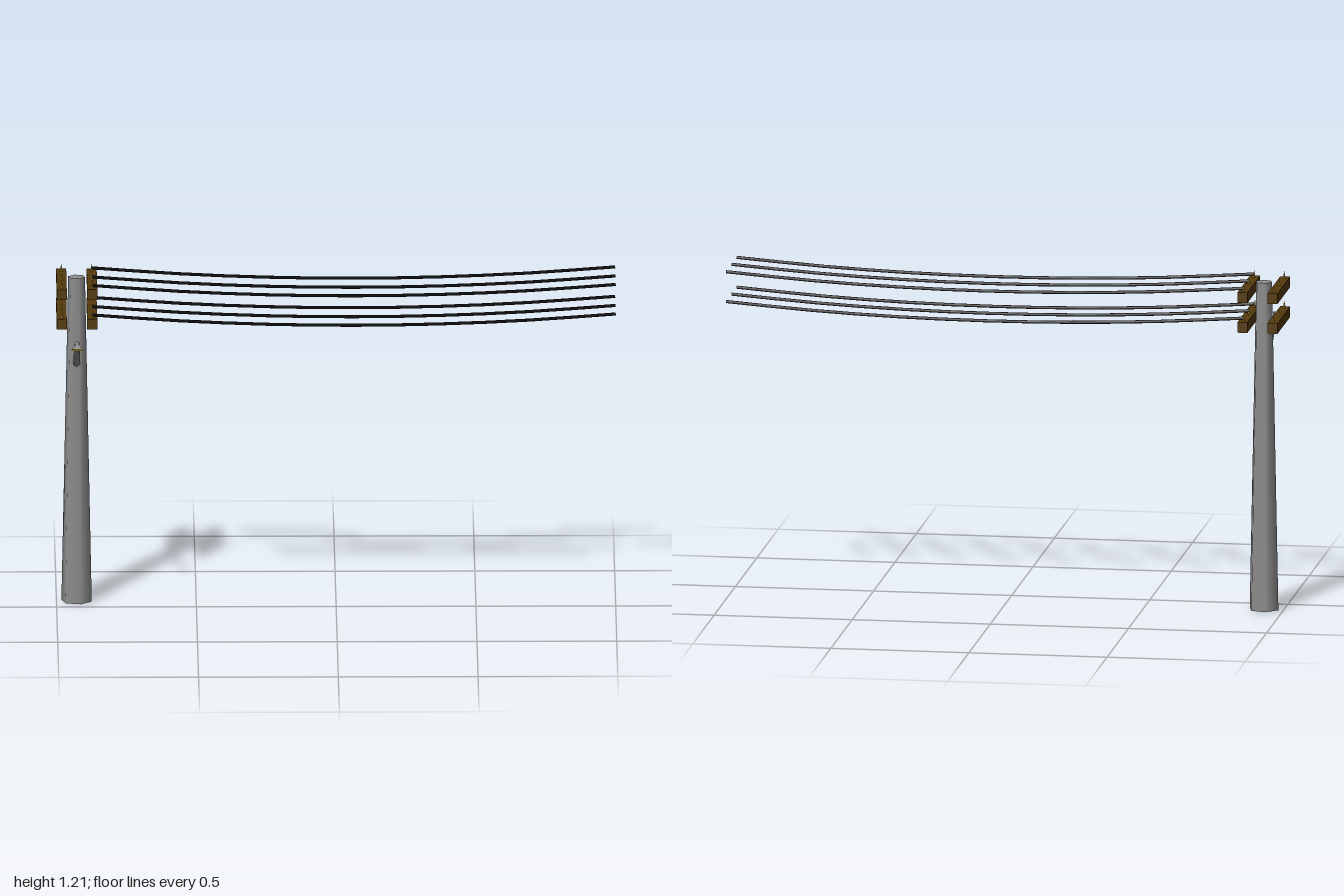
import * as THREE from 'three';

const POLE_X = -0.928, POLE_Z = -0.092;

function material(name, color) {
  const m = new THREE.MeshStandardMaterial({ color });
  m.name = name;
  return m;
}

export function createModel() {
  const concrete = material('concrete grey', 0x8f8f8f);
  const wood = material('dark wood', 0x553a0c);
  const black = material('cable black', 0x0a0a0a);
  const gold = material('insulator gold', 0xb8941c);

  const model = new THREE.Group();
  model.name = 'utilityPole';
  const add = (name, geometry, mat, x = 0, y = 0, z = 0) => {
    const mesh = new THREE.Mesh(geometry, mat);
    mesh.name = name;
    mesh.position.set(x, y, z);
    model.add(mesh);
    return mesh;
  };

  // Tapered six-sided pole
  add('pole', new THREE.CylinderGeometry(0.031, 0.056, 1.197, 6), concrete, POLE_X, 0.5985, POLE_Z)
    .rotation.y = Math.PI / 12;

  // Two tiers of paired crossarms, insulators and sagging cables
  const armGeometry = new THREE.BoxGeometry(0.036, 0.038, 0.3);
  const insulatorGeometry = new THREE.ConeGeometry(0.009, 0.042, 6);
  const rows = [0.031, -0.09, -0.219];
  for (const y of [1.168, 1.059]) {
    for (const x of [-0.982, -0.873]) {
      add('crossarm', armGeometry, wood, x, y, -0.095);
      for (const z of rows) add('insulator', insulatorGeometry, gold, x, y + 0.023, z);
    }
    for (const z of rows) {
      const points = [];
      for (let i = 0; i <= 6; i++) {
        const t = i / 6, s = 2 * t - 1;
        points.push(new THREE.Vector3(-0.873 + 1.873 * t, y - 0.011 + 0.04 * s * s, z));
      }
      const path = new THREE.CatmullRomCurve3(points);
      add('cable', new THREE.TubeGeometry(path, 12, 0.006, 5), black);
    }
  }

  // Lamp arm: tapered strut plus a short level neck
  const strut = (name, a, b, ra, rb) => {
    const dir = b.clone().sub(a);
    const mesh = add(name, new THREE.CylinderGeometry(rb, ra, dir.length(), 8), concrete);
    mesh.position.copy(a).add(b).multiplyScalar(0.5);
    mesh.quaternion.setFromUnitVectors(new THREE.Vector3(0, 1, 0), dir.normalize());
  };
  const root = new THREE.Vector3(POLE_X, 0.884, -0.066);
  const elbow = new THREE.Vector3(POLE_X, 1.015, 0.158);
  const neckEnd = new THREE.Vector3(POLE_X, 1.012, 0.205);
  strut('lampArm', root, elbow, 0.013, 0.009);
  strut('lampNeck', elbow, neckEnd, 0.009, 0.007);

  // Lamp head flares sideways and thins toward its tip
  const head = new THREE.BoxGeometry(1, 1, 1);
  const p = head.attributes.position;
  for (let i = 0; i < p.count; i++) {
    const front = p.getZ(i) > 0, top = p.getY(i) > 0;
    p.setXYZ(i,
      p.getX(i) * (front ? 0.04 : 0.014),
      top ? (front ? 1.016 : 1.02) : (front ? 1.01 : 1.003),
      front ? 0.246 : 0.196);
  }
  head.computeVertexNormals();
  add('lampHead', head, [concrete, concrete, concrete, gold, gold, concrete], POLE_X);

  return model;
}
